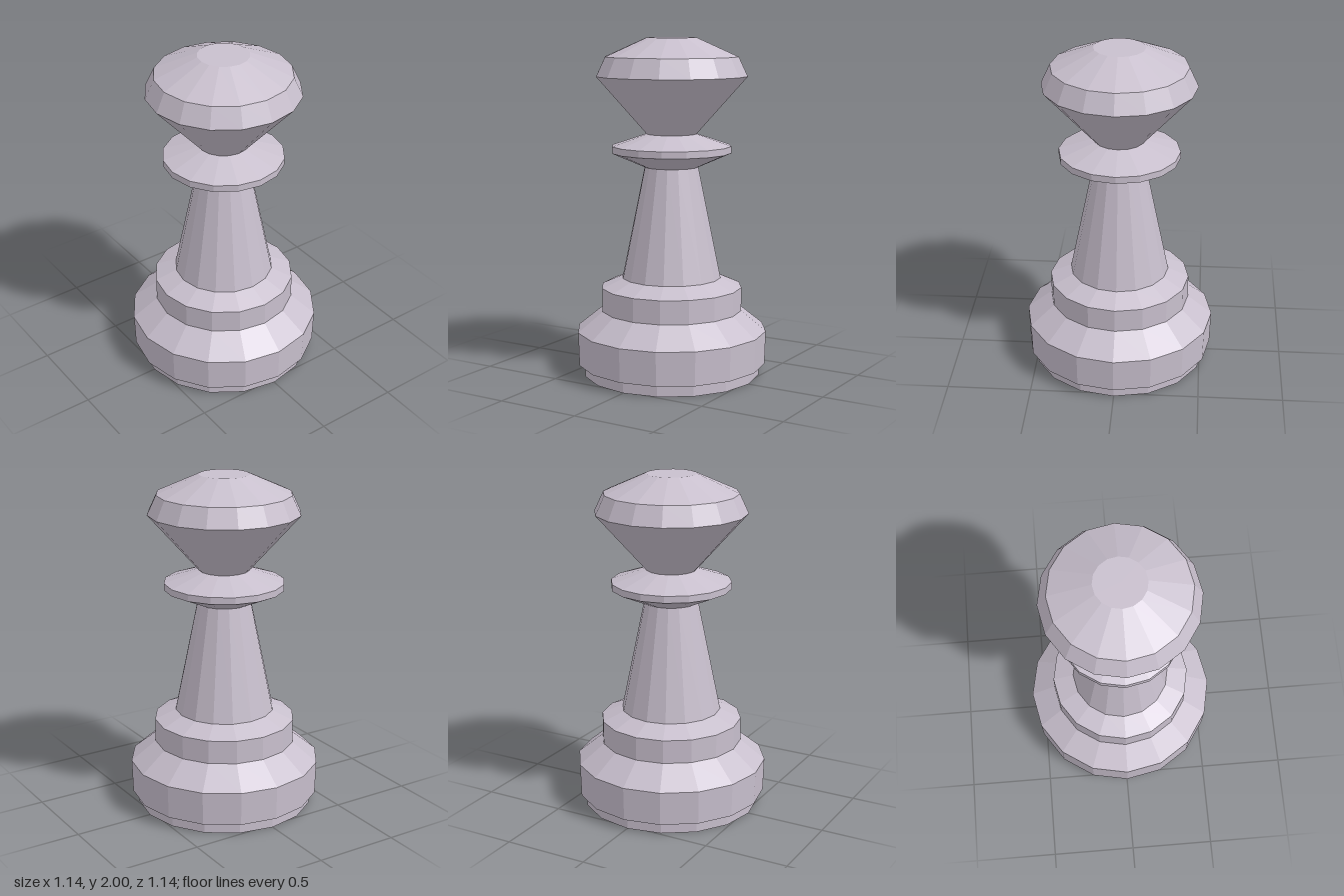
import * as THREE from 'three';

const SIDES = 16;

export function createModel() {
  const model = new THREE.Group();
  model.name = 'chessPawn';
  const material = new THREE.MeshStandardMaterial({ color: 0xc8bfcd, flatShading: true });

  // Each part is a faceted turning; profiles run upwards as [radius, height]
  // and share their end rings, so together they form one closed surface.
  const turn = (name, profile) => {
    const points = profile.map(([r, y]) => new THREE.Vector2(r, y));
    const mesh = new THREE.Mesh(new THREE.LatheGeometry(points, SIDES), material);
    mesh.name = name;
    model.add(mesh);
  };

  // Recessed foot with a closed underside
  turn('foot', [[0, 0], [0.527, 0], [0.527, 0.065]]);

  // Wide base drum with a sloping shoulder
  turn('base', [[0.527, 0.065], [0.562, 0.07], [0.568, 0.27], [0.42, 0.39]]);

  // Narrower step above the base
  turn('step', [[0.42, 0.39], [0.42, 0.53], [0.295, 0.585]]);

  // Tapering stem
  turn('stem', [[0.295, 0.585], [0.16, 1.245]]);

  // Thin collar disc
  turn('collar', [[0.16, 1.245], [0.355, 1.33], [0.355, 1.37], [0.148, 1.44]]);

  // Flared head with a bevelled crown and flat top
  turn('head', [[0.148, 1.44], [0.447, 1.777], [0.394, 1.89], [0.148, 2], [0, 2]]);

  return model;
}
